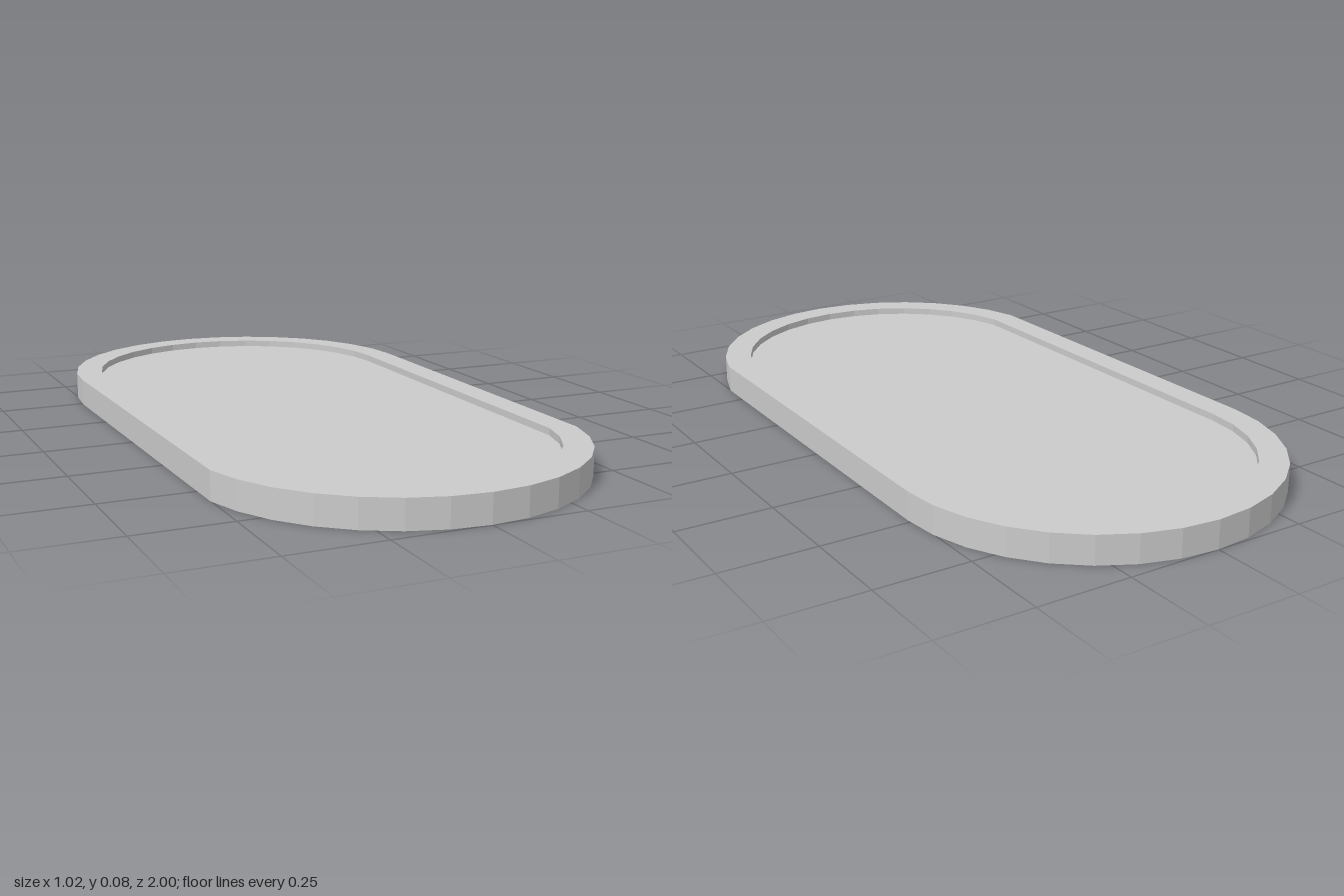
import * as THREE from 'three';

const STEP = Math.PI / 16;   // facet angle of the rounded ends
const CENTRE = 0.488;        // distance of the end arcs from the middle

// Stadium outline, slightly narrower at the front; shape y is the model's -z
function outline(radius) {
  const points = [];
  const arc = (from, to, centre) => {
    for (let i = from; i <= to; i++) {
      points.push(new THREE.Vector2(
        radius * Math.cos(i * STEP), centre + radius * Math.sin(i * STEP)));
    }
  };
  arc(0, 16, CENTRE);     // back end, full half circle
  arc(17, 31, -CENTRE);   // front end, stops one facet short on each side
  return points;
}

// Extrude a shape upward between two heights
function slab(name, shape, bottom, top, material) {
  const geometry = new THREE.ExtrudeGeometry(shape, { depth: top - bottom, bevelEnabled: false });
  geometry.rotateX(-Math.PI / 2);
  geometry.translate(0, bottom, 0);
  const mesh = new THREE.Mesh(geometry, material);
  mesh.name = name;
  return mesh;
}

export function createModel() {
  const group = new THREE.Group();
  group.name = 'ovalTray';
  const material = new THREE.MeshStandardMaterial({ color: 0xcccccc, flatShading: true });

  // Raised rim all around
  const rimShape = new THREE.Shape(outline(0.512));
  rimShape.holes.push(new THREE.Path(outline(0.437)));
  group.add(slab('rim', rimShape, 0, 0.075, material));

  // Flat panel, recessed above and below
  group.add(slab('panel', new THREE.Shape(outline(0.437)), 0.018, 0.056, material));

  return group;
}
